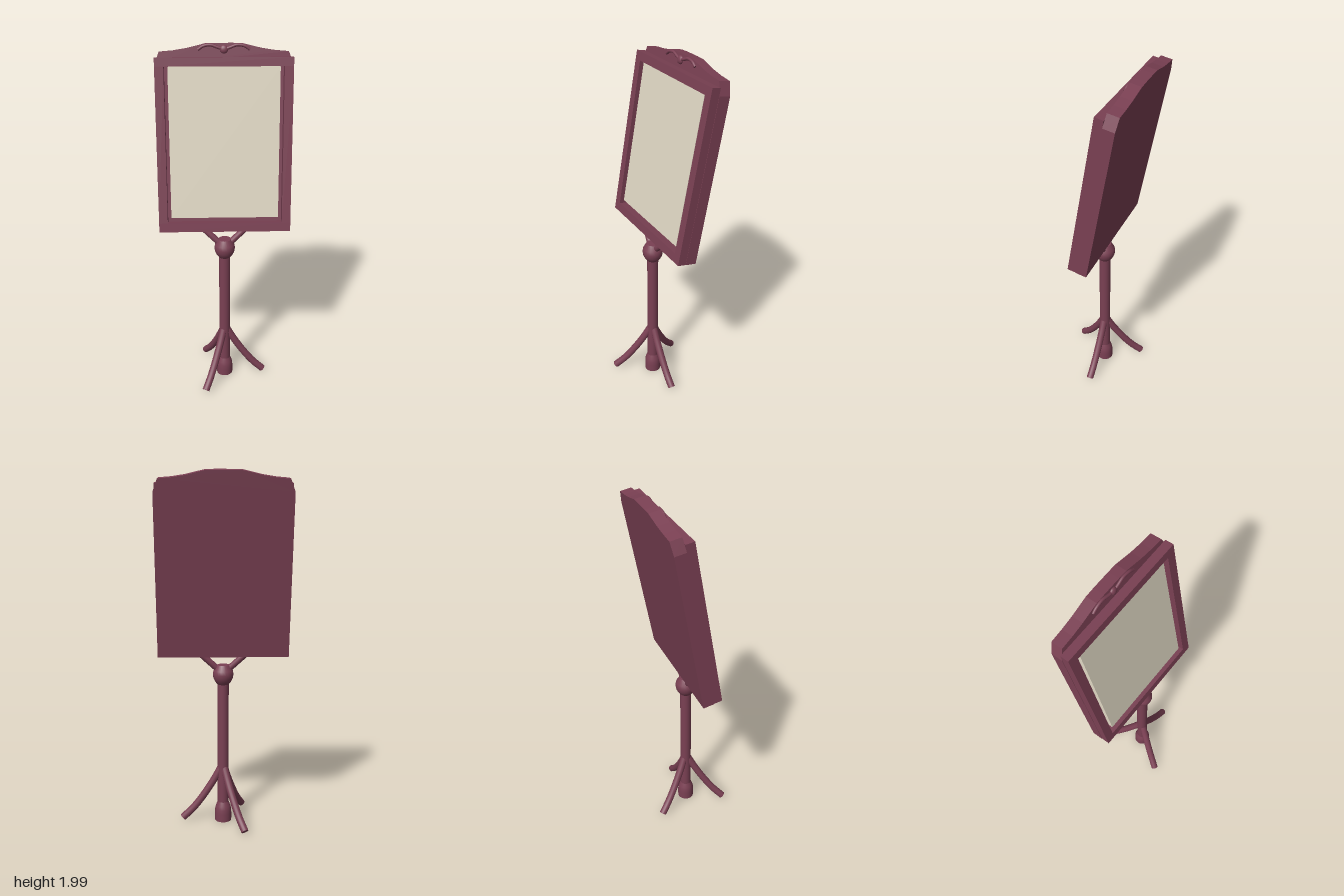
import * as THREE from 'three';

export function createModel() {
  const wood = new THREE.MeshStandardMaterial({ color: 0x7a4053 });
  wood.name = 'plum wood';
  const cream = new THREE.MeshStandardMaterial({ color: 0xe0d8c4 });
  cream.name = 'cream panel';

  const model = new THREE.Group();
  model.name = 'pedestalDisplay';

  const add = (parent, name, geometry, material = wood) => {
    const mesh = new THREE.Mesh(geometry, material);
    mesh.name = name;
    parent.add(mesh);
    return mesh;
  };
  // box given by its min and max corners
  const box = (parent, name, a, b, material) => {
    const g = new THREE.BoxGeometry(b[0] - a[0], b[1] - a[1], b[2] - a[2]);
    g.translate((a[0] + b[0]) / 2, (a[1] + b[1]) / 2, (a[2] + b[2]) / 2);
    return add(parent, name, g, material);
  };
  // round tube through points, closed at both ends
  const rod = (parent, name, points, radius, segments = 16) => {
    const curve = new THREE.CatmullRomCurve3(points.map((p) => new THREE.Vector3(...p)));
    const group = new THREE.Group();
    group.name = name;
    add(group, name + 'Tube', new THREE.TubeGeometry(curve, segments, radius, 16));
    for (const t of [0, 1]) {
      const cap = add(group, name + 'Cap', new THREE.CircleGeometry(radius, 16));
      cap.position.copy(curve.getPoint(t));
      const out = curve.getTangent(t).multiplyScalar(t ? 1 : -1);
      cap.quaternion.setFromUnitVectors(new THREE.Vector3(0, 0, 1), out);
    }
    parent.add(group);
    return group;
  };
  const lathe = (name, profile) =>
    add(model, name, new THREE.LatheGeometry(profile.map((p) => new THREE.Vector2(...p)), 24));

  // stand: foot, post and hub
  lathe('foot', [[0, 0.01], [0.048, 0.01], [0.048, 0.01], [0.048, 0.055], [0.047, 0.08],
    [0.042, 0.1], [0.032, 0.125]]);
  add(model, 'post', new THREE.CylinderGeometry(0.032, 0.032, 0.74, 24)).position.y = 0.48;
  lathe('hub', [[0.032, 0.83], [0.045, 0.845], [0.055, 0.865], [0.059, 0.888], [0.055, 0.91],
    [0.036, 0.942], [0.036, 0.942], [0, 0.942]]);

  // three curved legs
  for (let i = 0; i < 3; i++) {
    const leg = rod(model, 'leg', [[0, 0.36, 0], [0.05, 0.265, 0], [0.115, 0.163, 0],
      [0.175, 0.085, 0], [0.235, 0.026, 0]], 0.021, 24);
    leg.rotation.y = (i * Math.PI * 2) / 3;
  }

  // panel, leaning back
  const panel = new THREE.Group();
  panel.name = 'tiltedPanel';
  panel.position.set(0, 1.006, 0.008);
  panel.rotation.x = -Math.PI / 18;
  model.add(panel);

  // backboard with clipped corners and a crested top
  const half = [[0.365, 0], [0.365, 0.9], [0.34, 0.966], [0.27, 0.972], [0.2, 0.983],
    [0.1, 1.007], [0.05, 1.009]];
  const outline = [...half, ...half.map(([x, y]) => [-x, y]).reverse()];
  const boardShape = new THREE.Shape(outline.map((p) => new THREE.Vector2(...p)));
  const board = new THREE.ExtrudeGeometry(boardShape, { depth: 0.062, bevelEnabled: false });
  board.translate(0, 0, -0.062);
  add(panel, 'backboard', board);

  // front frame and inset panel
  const D = 0.047;
  box(panel, 'bottomRail', [-0.363, 0, 0], [0.363, 0.05, D]);
  box(panel, 'topRail', [-0.363, 0.892, 0], [0.363, 0.938, D]);
  for (const s of [-1, 1]) {
    const x = [0.315 * s, 0.363 * s].sort((a, b) => a - b);
    box(panel, 'sideStile', [x[0], 0.05, 0], [x[1], 0.892, D]);
  }
  box(panel, 'insetPanel', [-0.295, 0.078, 0], [0.295, 0.89, 0.034], cream);

  for (const s of [-1, 1]) {
    // forked arms joining hub and panel
    rod(panel, 'forkArm', [[0.02 * s, -0.095, -0.025], [0.13 * s, 0.01, -0.025]], 0.018, 1);
    // scroll ornament on the crest
    rod(panel, 'scroll', [[0.005 * s, 0.978, 0.002], [0.03 * s, 0.986, 0.004],
      [0.07 * s, 0.999, 0.004], [0.11 * s, 0.993, 0.004], [0.136 * s, 0.976, 0.002]], 0.008, 20);
  }
  const knot = add(panel, 'ornamentKnot', new THREE.SphereGeometry(0.022, 16, 12));
  knot.scale.set(1, 1, 0.6);
  knot.position.set(0, 0.977, 0.002);

  return model;
}
